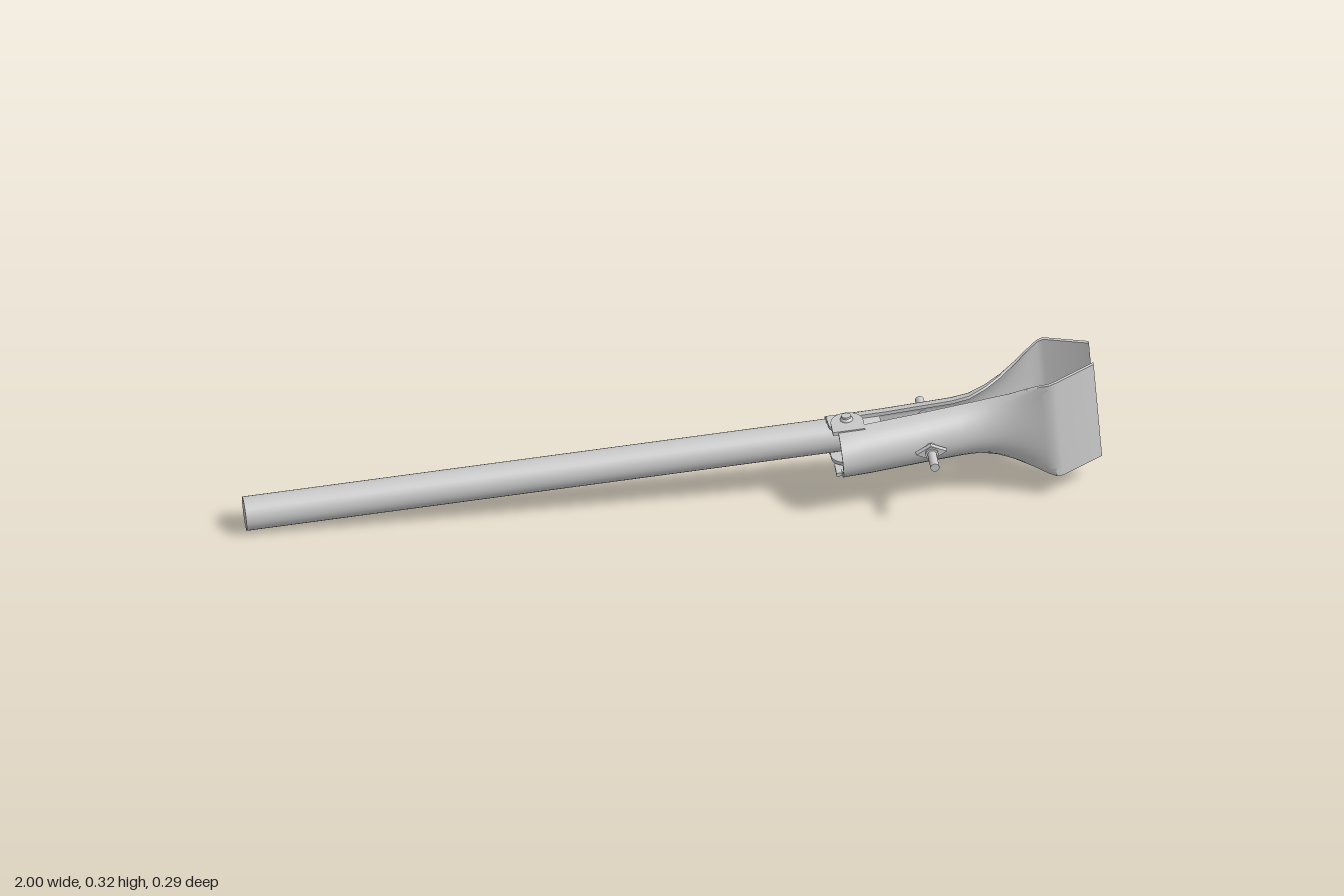
import * as THREE from 'three';
import { toCreasedNormals } from 'three/addons/utils/BufferGeometryUtils.js';

const material = new THREE.MeshStandardMaterial({ color: 0xcccccc, side: THREE.DoubleSide });
const AXIS_Z = -0.047;

// Sheet-metal jaw lofted from channel sections [u, outer z, channel depth, half height]; side is +1 front, -1 back
function jawGeometry(sections, side, thick = 0.009, steps = 16) {
  const pos = [], idx = [], M = 2 * (steps + 1);
  for (const [u, o, d, h] of sections) {
    const k = Math.min(1, d / h);
    for (let j = 0; j < M; j++) {
      const inner = j > steps;
      const a = ((inner ? M - 1 - j : j) / steps - 0.5) * Math.PI;
      const hh = inner ? h - thick * k : h;
      const dd = inner ? d - thick * k : d;
      pos.push(u, hh * Math.sin(a), o - side * ((inner ? thick : 0) + dd * (1 - Math.cos(a))));
    }
  }
  const quad = (a, b, c, d, flip) => flip ? idx.push(a, c, b, a, d, c) : idx.push(a, b, c, a, c, d);
  for (let i = 0; i < sections.length - 1; i++) {
    for (let j = 0; j < M; j++) {
      const n = (j + 1) % M;
      quad(i * M + j, i * M + n, (i + 1) * M + n, (i + 1) * M + j, side > 0);
    }
  }
  const last = (sections.length - 1) * M;
  for (let j = 0; j < steps; j++) {
    quad(j, j + 1, M - 2 - j, M - 1 - j, side < 0);
    quad(last + j, last + j + 1, last + M - 2 - j, last + M - 1 - j, side > 0);
  }
  const g = new THREE.BufferGeometry();
  g.setAttribute('position', new THREE.Float32BufferAttribute(pos, 3));
  g.setIndex(idx);
  return toCreasedNormals(g, 0.6);
}

// Round-ended hinge ear lying in the u-z plane
function earGeometry(u, zBase, zPin, r, thick) {
  const s = new THREE.Shape();
  s.moveTo(u + r, zBase);
  s.lineTo(u + r, zPin);
  s.absarc(u, zPin, r, 0, Math.PI * Math.sign(zPin - zBase), zPin < zBase);
  s.lineTo(u - r, zBase);
  s.closePath();
  const g = new THREE.ExtrudeGeometry(s, { depth: thick, bevelEnabled: false, curveSegments: 12 });
  return g.rotateX(Math.PI / 2).translate(0, thick / 2, 0);
}

export function createModel() {
  const model = new THREE.Group();
  model.name = 'clampOnRod';
  const tilted = new THREE.Group();
  tilted.name = 'tiltedAssembly';
  tilted.position.set(-0.997, 0.04, 0);
  tilted.rotation.z = 0.0766;
  model.add(tilted);

  const add = (name, geometry, x = 0, y = 0, z = 0) => {
    const m = new THREE.Mesh(geometry, material);
    m.name = name;
    m.position.set(x, y, z);
    tilted.add(m);
    return m;
  };

  // Long handle rod
  add('rod', new THREE.CylinderGeometry(0.04, 0.04, 1.49, 32).rotateZ(Math.PI / 2), 0.745, 0, AXIS_Z);

  // Fixed jaw cradling the rod, flaring into a bent plate
  add('backJaw', jawGeometry([
    [1.365, -0.092, 0.052, 0.048], [1.5, -0.092, 0.053, 0.05], [1.66, -0.092, 0.053, 0.056],
    [1.70, -0.094, 0.053, 0.061], [1.74, -0.103, 0.048, 0.071], [1.78, -0.115, 0.038, 0.084],
    [1.82, -0.127, 0.024, 0.101], [1.85, -0.136, 0.012, 0.115], [1.875, -0.142, 0.002, 0.125],
    [1.89, -0.141, 0, 0.13], [1.993, -0.1, 0, 0.13],
  ], -1), 0, 0, 0);

  // Swinging jaw
  add('frontJaw', jawGeometry([
    [1.385, 0.092, 0.075, 0.06], [1.45, 0.083, 0.066, 0.061], [1.58, 0.066, 0.063, 0.062],
    [1.67, 0.054, 0.061, 0.064], [1.71, 0.049, 0.057, 0.067], [1.75, 0.047, 0.048, 0.076],
    [1.79, 0.049, 0.035, 0.09], [1.83, 0.053, 0.02, 0.107], [1.86, 0.057, 0.008, 0.12],
    [1.88, 0.059, 0.001, 0.126], [1.895, 0.054, 0, 0.128], [1.993, -0.004, 0, 0.128],
  ], 1));

  // Hinge ears, pivot rivets on both sides
  for (const s of [-1, 1]) {
    add('backJawEar', earGeometry(1.405, -0.055, -0.025, 0.038, 0.009), 0, s * 0.045, 0);
    add('frontJawEar', earGeometry(1.41, 0.035, -0.003, 0.038, 0.009), 0, s * 0.057, 0);
    add('pivotRivet', new THREE.CylinderGeometry(0.011, 0.011, 0.03, 20), 1.41, s * 0.058, -0.012);
    add('rivetHead', new THREE.SphereGeometry(0.015, 20, 8, 0, Math.PI * 2, 0, Math.PI / 2)
      .scale(1, 0.6, 1).rotateX(s > 0 ? 0 : Math.PI), 1.41, s * 0.062, -0.012);
  }

  // Clamping bolt through both jaws
  add('bolt', new THREE.CylinderGeometry(0.0105, 0.0105, 0.288, 20).rotateX(Math.PI / 2), 1.593, 0, 0);

  // Diamond-shaped nut with a round hub
  const nut = new THREE.Shape();
  nut.moveTo(0.036, 0);
  nut.lineTo(0, 0.019);
  nut.lineTo(-0.036, 0);
  nut.lineTo(0, -0.019);
  nut.closePath();
  add('nutWings', new THREE.ExtrudeGeometry(nut, { depth: 0.013, bevelEnabled: false }), 1.593, 0, 0.069);
  add('nutHub', new THREE.CylinderGeometry(0.015, 0.015, 0.026, 20).rotateX(Math.PI / 2), 1.593, 0, 0.075);

  return model;
}
